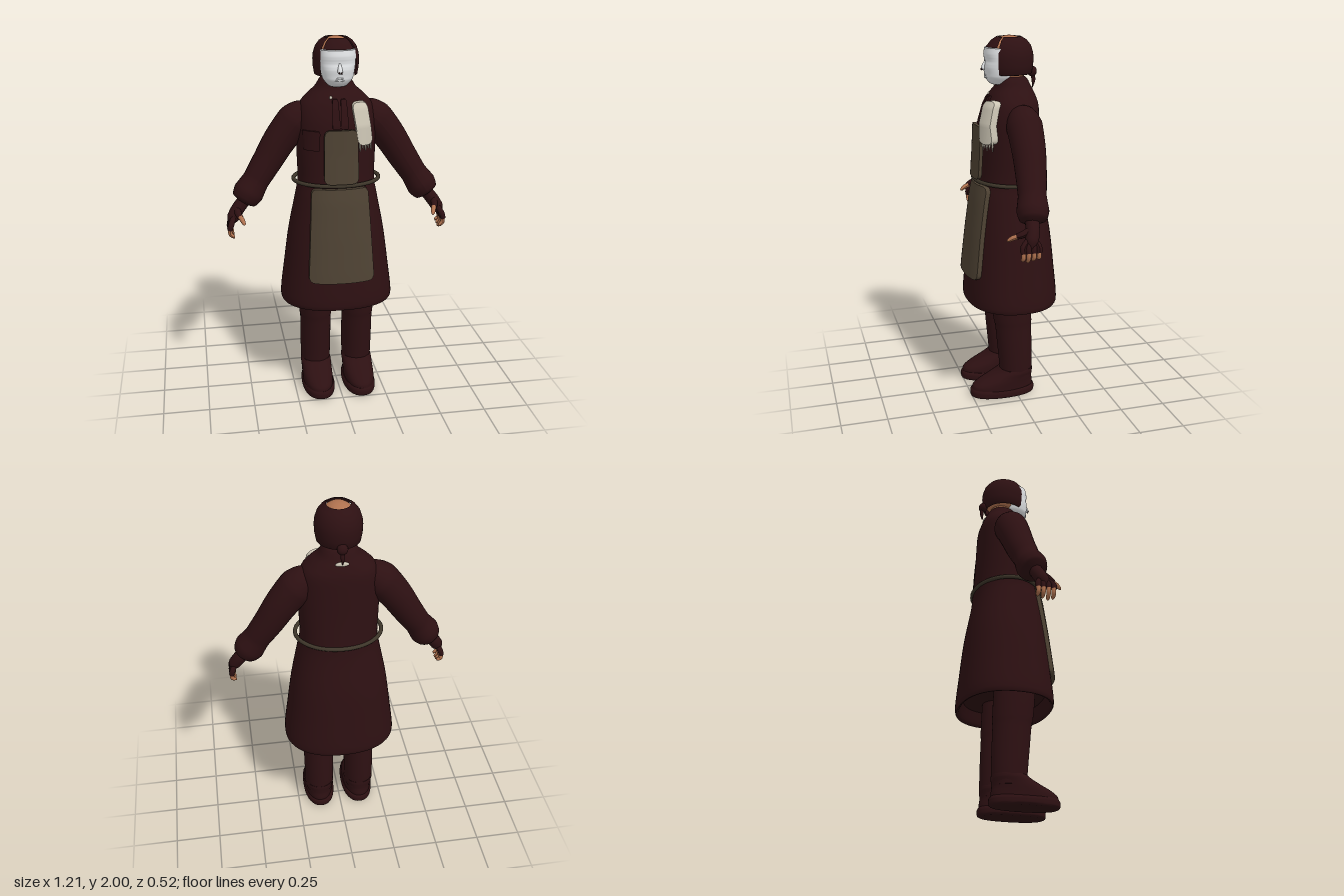
import * as THREE from 'three';
import { mergeVertices, toCreasedNormals } from 'three/addons/utils/BufferGeometryUtils.js';

const material = (name, color, side = THREE.FrontSide) => {
  const m = new THREE.MeshStandardMaterial({ color, side });
  m.name = name;
  return m;
};

// Coat sections from hem to collar: [y, centre x, centre z, half width, half depth]
const COAT = [
  [0.62, 0, 0, 0.27, 0.21], [0.55, 0, 0, 0.295, 0.235], [0.57, 0, 0, 0.312, 0.253],
  [0.75, 0, 0, 0.29, 0.237], [0.95, 0, 0, 0.262, 0.215], [1.15, 0, 0.005, 0.222, 0.185],
  [1.24, 0, 0, 0.208, 0.172], [1.4, 0, 0, 0.212, 0.16], [1.55, 0, 0, 0.21, 0.153],
  [1.64, 0, -0.01, 0.195, 0.137], [1.69, 0, -0.015, 0.155, 0.118],
  [1.73, 0, -0.02, 0.11, 0.095], [1.77, 0, -0.018, 0.085, 0.078], [1.785, 0, -0.018, 0.07, 0.06],
];
const POWER = 2.3;

// Smooth body through stacked superellipse sections
function loft(sections, power = 2, sides = 40) {
  const centres = new THREE.CatmullRomCurve3(
    sections.map(([y, x, z]) => new THREE.Vector3(x, y, z)), false, 'catmullrom');
  const radii = new THREE.CatmullRomCurve3(
    sections.map((s) => new THREE.Vector3(s[3], 0, s[4])), false, 'catmullrom');
  let g = new THREE.CylinderGeometry(1, 1, 1, sides, (sections.length - 1) * 4);
  const p = g.attributes.position;
  for (let i = 0; i < p.count; i++) {
    const t = THREE.MathUtils.clamp(p.getY(i) + 0.5, 0, 1);
    const c = centres.getPoint(t), r = radii.getPoint(t), x = p.getX(i), z = p.getZ(i);
    const sum = Math.abs(x) ** power + Math.abs(z) ** power;
    const k = sum < 1e-6 ? 0 : sum ** (-1 / power);
    p.setXYZ(i, c.x + x * k * r.x, c.y, c.z + z * k * r.z);
  }
  g.deleteAttribute('uv');
  g.deleteAttribute('normal');
  g = mergeVertices(g, 1e-5);
  return toCreasedNormals(g, 0.9);
}

// Round limb through [x, y, z, radius] points, mirrored by side
function limb(points, side = 1, sides = 18) {
  const pts = points.map(([x, y, z]) => new THREE.Vector3(x * side, y, z));
  const curve = new THREE.CatmullRomCurve3(pts, false, 'catmullrom');
  const rows = (points.length - 1) * 5;
  const g = new THREE.TubeGeometry(curve, rows, 1, sides, false);
  const p = g.attributes.position, v = new THREE.Vector3();
  for (let i = 0; i < p.count; i++) {
    const u = Math.floor(i / (sides + 1)) / rows;
    const c = curve.getPointAt(u);
    const f = curve.getUtoTmapping(u) * (points.length - 1);
    const a = Math.min(Math.floor(f), points.length - 2);
    const r = THREE.MathUtils.lerp(points[a][3], points[a + 1][3], f - a);
    v.fromBufferAttribute(p, i).sub(c).multiplyScalar(r).add(c);
    p.setXYZ(i, v.x, v.y, v.z);
  }
  g.computeVertexNormals();
  return g;
}

// Front surface of the coat at x, y
function coatFront(x, y) {
  let i = 2;
  while (i < COAT.length - 2 && COAT[i + 1][0] < y) i++;
  const a = COAT[i], b = COAT[i + 1], f = (y - a[0]) / (b[0] - a[0]);
  const [cz, rx, rz] = [2, 3, 4].map((k) => THREE.MathUtils.lerp(a[k], b[k], f));
  return cz + rz * Math.max(0, 1 - Math.abs(x / rx) ** POWER) ** (1 / POWER);
}

// Cloth panel with rounded corners, draped on the coat front
function panel(x0, y0, w, h, { depth = 0.018, lift = 0.012, round = 0.03, taper = 0, shear = 0 }) {
  const g = new THREE.BoxGeometry(w, h, depth, 16, 20, 1);
  const p = g.attributes.position;
  for (let i = 0; i < p.count; i++) {
    let x = p.getX(i), y = p.getY(i);
    const qx = Math.abs(x) - w / 2 + round, qy = Math.abs(y) - h / 2 + round;
    if (qx > 0 && qy > 0) {
      const k = Math.max(qx, qy) / Math.hypot(qx, qy);
      x = Math.sign(x) * (w / 2 - round + qx * k);
      y = Math.sign(y) * (h / 2 - round + qy * k);
    }
    const px = x0 + x * (1 - taper * y / h) + shear * y, py = y0 + y;
    p.setXYZ(i, px, py, coatFront(px, py) + lift + p.getZ(i));
  }
  return toCreasedNormals(g, 0.7);
}

export function createModel() {
  const model = new THREE.Group();
  const cloth = material('dark maroon cloth', 0x2d1012, THREE.DoubleSide);
  const apron = material('brown apron', 0x4e4233);
  const rope = material('dark brown belt', 0x3d3529);
  const skin = material('skin', 0xb0724f, THREE.DoubleSide);
  const white = material('white mask', 0xe6e8ea);
  const cream = material('cream cloth', 0xcdc6b5, THREE.DoubleSide);
  const add = (name, geometry, mat) => {
    const mesh = new THREE.Mesh(geometry, mat);
    mesh.name = name;
    model.add(mesh);
    return mesh;
  };
  const ball = (name, mat, pos, size) => {
    const m = add(name, new THREE.SphereGeometry(1, 32, 24), mat);
    m.position.set(...pos);
    m.scale.set(...size);
    return m;
  };

  // Coat with pocket, front flaps and collar scraps
  add('coat', loft(COAT, POWER, 56), cloth);
  add('pocket', panel(-0.15, 1.47, 0.08, 0.1, { depth: 0.012, lift: 0.004, round: 0.008 }), cloth);
  add('pocketFlap', panel(-0.15, 1.51, 0.086, 0.03, { depth: 0.014, lift: 0.008, round: 0.008 }), cloth);
  for (const s of [-1, 1]) {
    add('coatFlap', panel(s * 0.022, 1.61, 0.036, 0.15,
      { depth: 0.012, lift: 0.006, round: 0.01, taper: 0.4 }), cloth);
  }
  ball('collarTab', cream, [-0.042, 1.69, 0.098], [0.008, 0.009, 0.008]);
  ball('backCollarTab', cream, [0, 1.715, -0.119], [0.035, 0.014, 0.008]);

  // Apron, belt and shoulder towel
  add('apronSkirt', panel(-0.004, 0.965, 0.33, 0.51, { taper: 0.17, depth: 0.024 }), apron);
  add('apronBib', panel(0, 1.392, 0.18, 0.285, { lift: 0.027, taper: 0.06 }), apron);
  const ring = [...Array(24).keys()].map((i) => {
    const a = (i / 24) * Math.PI * 2;
    return new THREE.Vector3(Math.sin(a) * 0.233, 1.237, 0.008 + Math.cos(a) * 0.185);
  });
  add('belt', new THREE.TubeGeometry(new THREE.CatmullRomCurve3(ring, true), 72, 0.011, 10, true), rope);
  add('towel', panel(0.118, 1.56, 0.085, 0.22, { depth: 0.035, lift: 0.022, shear: -0.14 }), cream);
  for (let i = 0; i < 5; i++) {
    const x = 0.1 + i * 0.016, z = coatFront(x, 1.44) + 0.025, end = 1.415 + (i % 2) * 0.012;
    add('towelFringe', limb([[x, 1.47, z, 0.006], [x, 1.44, z, 0.005], [x + 0.002, end, z, 0.002]], 1, 8), cream);
  }

  // Head, mask and hair
  add('neck', loft([[1.7, 0, -0.015, 0.065, 0.06], [1.76, 0, -0.015, 0.065, 0.064],
    [1.83, 0, -0.01, 0.07, 0.075]]), skin);
  ball('head', skin, [0, 1.88, 0], [0.1, 0.117, 0.12]);
  add('mask', loft([
    [1.742, 0, 0.06, 0.025, 0.02], [1.75, 0, 0.06, 0.048, 0.044], [1.78, 0, 0.06, 0.075, 0.068],
    [1.805, 0, 0.06, 0.084, 0.072], [1.84, 0, 0.06, 0.09, 0.076], [1.87, 0, 0.06, 0.093, 0.069],
    [1.9, 0, 0.06, 0.094, 0.074], [1.935, 0, 0.06, 0.092, 0.068],
  ], 2.2), white);
  add('nose', limb([[0, 1.87, 0.125, 0.005], [0, 1.845, 0.134, 0.012], [0, 1.828, 0.138, 0.014],
    [0, 1.818, 0.134, 0.002]]), white);
  for (const s of [-1, 1]) {
    ball('nostril', cloth, [s * 0.006, 1.824, 0.149], [0.004, 0.006, 0.004]);
    ball('lip', white, [0, 1.788 + s * 0.006, 0.126], [0.024, 0.006, 0.008]);
  }
  const profile = [[0.1, 1.795], [0.113, 1.8], [0.12, 1.84], [0.122, 1.88], [0.119, 1.91],
    [0.108, 1.945], [0.088, 1.972], [0.061, 1.99]].map((p) => new THREE.Vector2(...p));
  const hair = (name, points, start, length) =>
    add(name, new THREE.LatheGeometry(points, 48, start, length).scale(1, 1, 1.07), cloth);
  hair('hair', profile, 0.88, Math.PI * 2 - 1.76);
  hair('fringe', [new THREE.Vector2(0.114, 1.938), ...profile.slice(5)], -0.78, 1.56);
  ball('hairBun', cloth, [0, 1.805, -0.128], [0.028, 0.028, 0.025]);
  add('hairTail', limb([[0, 1.8, -0.13, 0.01], [0, 1.76, -0.136, 0.011], [0, 1.72, -0.132, 0.002]]), cloth);

  // Arms, hands, legs and boots, mirrored
  for (const s of [1, -1]) {
    add('sleeve', limb([
      [0.12, 1.6, -0.02, 0.03], [0.165, 1.59, -0.02, 0.075], [0.22, 1.55, -0.02, 0.095],
      [0.3, 1.45, -0.018, 0.088], [0.37, 1.34, -0.01, 0.08], [0.435, 1.24, 0.003, 0.072],
      [0.478, 1.175, 0.013, 0.083], [0.505, 1.135, 0.02, 0.07], [0.515, 1.12, 0.022, 0.02],
    ], s, 28), cloth);
    add('glove', limb([[0.5, 1.14, 0.025, 0.035], [0.54, 1.09, 0.032, 0.036],
      [0.568, 1.045, 0.045, 0.034], [0.583, 1.01, 0.05, 0.012]], s), cloth);
    [0.093, 0.066, 0.039, 0.013].forEach((z, i) => {
      const tip = 0.935 + Math.abs(i - 1) * 0.008;
      add('gloveFinger', limb([[0.562, 1.06, 0.03 + z * 0.3, 0.014], [0.582, 1.02, z, 0.016],
        [0.59, 0.99, z, 0.014]], s, 10), cloth);
      add('finger', limb([[0.588, 1.0, z, 0.012], [0.587, 0.97, z, 0.012],
        [0.572, tip + 0.01, z, 0.01], [0.566, tip, z, 0.001]], s, 10), skin);
    });
    add('gloveThumb', limb([[0.545, 1.095, 0.045, 0.02], [0.54, 1.075, 0.085, 0.018],
      [0.53, 1.065, 0.11, 0.015]], s, 10), cloth);
    add('thumb', limb([[0.532, 1.066, 0.1, 0.013], [0.522, 1.055, 0.13, 0.013],
      [0.515, 1.042, 0.15, 0.009], [0.513, 1.036, 0.156, 0.001]], s, 10), skin);

    const x = 0.12 * s;
    add('leg', loft([
      [0.64, x, 0.025, 0.09, 0.11], [0.55, x, 0.02, 0.092, 0.11], [0.44, x, 0.012, 0.09, 0.106],
      [0.425, x, 0.01, 0.087, 0.102], [0.3, x, 0.002, 0.086, 0.098],
      [0.17, x, -0.005, 0.084, 0.093], [0.1, x, -0.005, 0.08, 0.09],
    ].reverse()), cloth);
    add('boot', loft([
      [0.04, x, 0.075, 0.083, 0.176], [0.065, x, 0.072, 0.084, 0.172], [0.09, x, 0.056, 0.085, 0.152],
      [0.115, x, 0.03, 0.085, 0.127], [0.14, x, 0.005, 0.086, 0.104], [0.155, x, -0.004, 0.082, 0.094],
    ], 2.2), cloth);
    add('sole', loft([
      [0, x * 0.98, 0.073, 0.08, 0.172], [0.008, x * 0.98, 0.074, 0.09, 0.183],
      [0.035, x * 0.98, 0.074, 0.091, 0.184], [0.048, x * 0.98, 0.074, 0.084, 0.176],
    ], 2.3), cloth);
  }
  return model;
}
